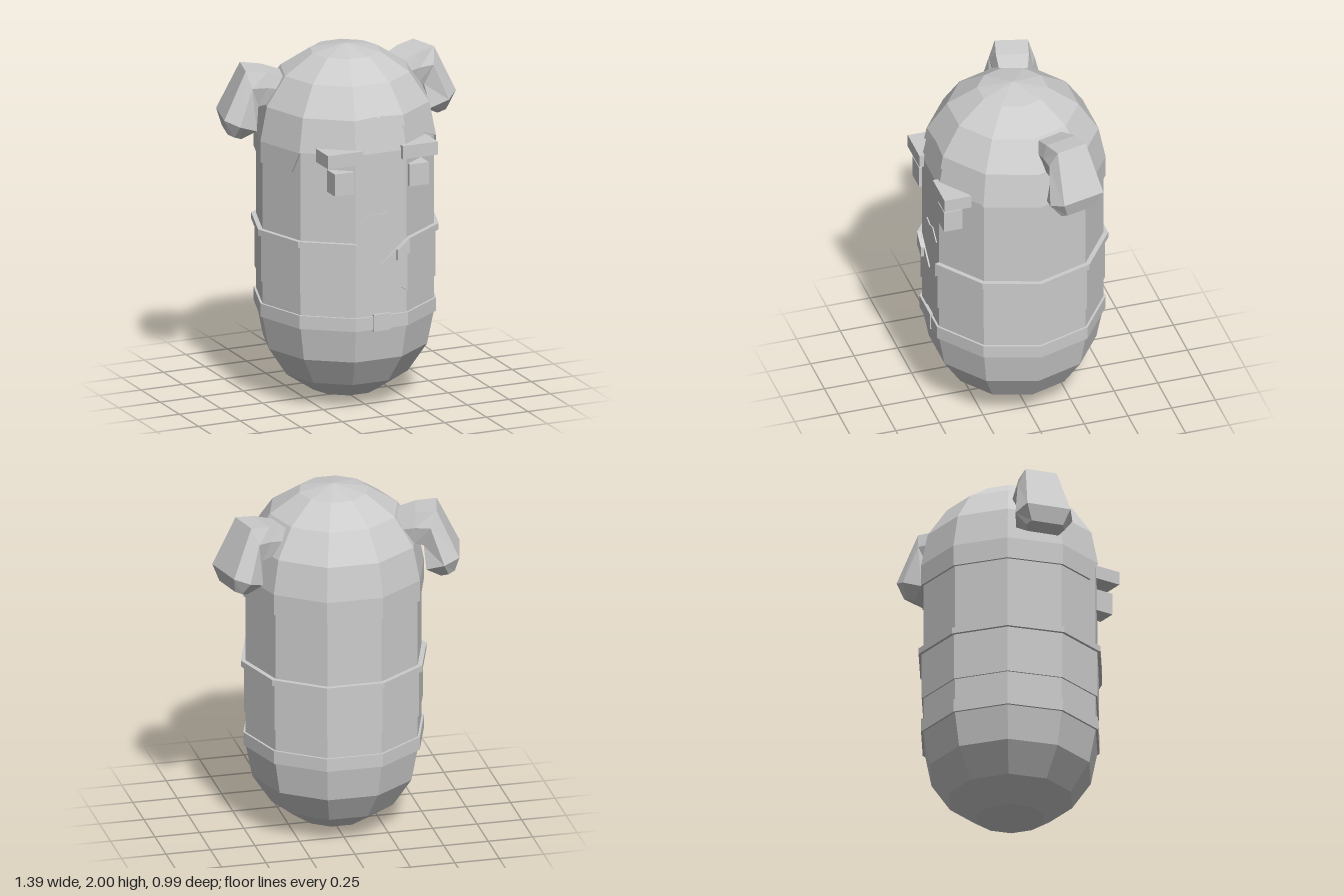
import * as THREE from 'three';

const grey = new THREE.MeshStandardMaterial({ color: 0xcccccc, flatShading: true, side: THREE.DoubleSide });

function mesh(name, geometry, x = 0, y = 0, z = 0) {
  const m = new THREE.Mesh(geometry, grey);
  m.name = name;
  m.position.set(x, y, z);
  return m;
}

// Skins a row of closed rings; loops round on itself or is capped at both ends
function loft(rings, loop) {
  const out = [];
  const tri = (...pts) => pts.forEach(p => out.push(p.x, p.y, p.z));
  const n = rings[0].length;
  const count = loop ? rings.length : rings.length - 1;
  for (let i = 0; i < count; i++) {
    const a = rings[i], b = rings[(i + 1) % rings.length];
    for (let j = 0; j < n; j++) {
      const k = (j + 1) % n;
      tri(b[j], a[j], a[k]);
      tri(b[j], a[k], b[k]);
    }
  }
  if (!loop) {
    const s = rings[0], e = rings[rings.length - 1];
    for (let j = 1; j < n - 1; j++) {
      tri(s[0], s[j + 1], s[j]);
      tri(e[0], e[j], e[j + 1]);
    }
  }
  const g = new THREE.BufferGeometry();
  g.setAttribute('position', new THREE.Float32BufferAttribute(out, 3));
  g.computeVertexNormals();
  return g;
}

// Point on the ten-sided outline: k counts corners from +x towards the front
function onOutline(k, r, y) {
  const i = Math.floor(k), f = k - i, step = Math.PI / 5;
  const mix = fn => (1 - f) * fn(i * step) + f * fn((i + 1) * step);
  return new THREE.Vector3(r * mix(Math.cos), y, r * mix(Math.sin));
}

// Band around the body; each column is [k, bottom, top]
function band(columns, inner, outer, loop) {
  return loft(columns.map(([k, lo, hi]) => [
    onOutline(k, inner, lo), onOutline(k, outer, lo),
    onOutline(k, outer, hi), onOutline(k, inner, hi)]), loop);
}

// Domed hair cap with a peaked fringe; columns are [k, lower edge]
function hairCap() {
  const R = 0.508;
  const knots = [[1.38, R], [1.5, R]];
  for (let i = 1; i <= 4; i++) {
    const a = i * Math.PI / 8;
    knots.push([1.5 + 0.5 * Math.sin(a), R * Math.cos(a)]);
  }
  const radius = y => {
    for (let i = 1; i < knots.length; i++) {
      const [y0, r0] = knots[i - 1], [y1, r1] = knots[i];
      if (y <= y1) return r0 + (r1 - r0) * (y - y0) / (y1 - y0);
    }
    return 0;
  };
  const columns = [[0, 1.38], [0.8, 1.38], [1, 1.5], [2, 1.62], [2.5, 1.7], [3, 1.62], [4, 1.5], [4.2, 1.38],
    [5, 1.38], [6, 1.38], [7, 1.38], [8, 1.38], [9, 1.38]];
  return loft(columns.map(([k, edge]) => {
    const ring = knots.map(([ky]) => {
      const y = Math.max(ky, edge);
      return onOutline(k, radius(y), y);
    });
    ring.unshift(onOutline(k, radius(edge) - 0.03, edge));
    return ring;
  }), true);
}

// Pigtail: six-sided sections running outward, then bending down
function pigtail(side) {
  // outer u, outer y, inner u, inner y, edge half width, middle half width
  const sections = [
    [-0.03, 1.83, -0.03, 1.70, 0.07, 0.09],
    [0.02, 1.845, 0.03, 1.69, 0.08, 0.10],
    [0.10, 1.87, 0.10, 1.69, 0.09, 0.11],
    [0.215, 1.885, 0.145, 1.68, 0.09, 0.125],
    [0.34, 1.62, 0.16, 1.55, 0.125, 0.165],
    [0.315, 1.53, 0.24, 1.50, 0.09, 0.11]];
  const at = (u, y, w) => new THREE.Vector3(side * (0.335 + 0.97 * u + 0.25 * w), y, -0.11 - 0.25 * u + 0.97 * w);
  return loft(sections.map(([ou, oy, iu, iy, e, m]) => {
    const mu = ou * 0.55 + iu * 0.45, my = oy * 0.55 + iy * 0.45;
    const ring = [at(ou, oy, -e), at(ou, oy, e), at(mu, my, m), at(iu, iy, e), at(iu, iy, -e), at(mu, my, -m)];
    return side < 0 ? ring.reverse() : ring;
  }), false);
}

export function createModel() {
  const group = new THREE.Group();
  const figure = new THREE.Group();
  figure.name = 'figure';
  figure.position.x = -0.005;
  group.add(figure);

  figure.add(mesh('body', new THREE.CapsuleGeometry(0.495, 1, 4, 10).toNonIndexed(), 0, 1, 0));
  figure.add(mesh('hair', hairCap()));

  // Clothing
  const corners = [...Array(10).keys()];
  figure.add(mesh('belt', band(corners.map(k => [k, 0.5, 0.575]), 0.48, 0.508, true)));
  figure.add(mesh('buckle', new THREE.BoxGeometry(0.1, 0.095, 0.05), 0, 0.538, 0.463));

  const shawl = corners.map(k => [k, 0.7, k === 2 || k === 3 ? 1 : 0.98]);
  shawl.splice(3, 0, [2.5, 0.79, 0.865]);
  figure.add(mesh('shawl', band(shawl, 0.48, 0.504, true)));

  const collar = [[2.78, 0.88, 0.94], [3, 0.917, 1], [3.27, 0.955, 1]];
  for (let k = 4; k <= 11; k++) collar.push([k, 0.965, 1]);
  collar.push([11.73, 0.955, 1], [12, 0.917, 1], [12.22, 0.88, 0.94]);
  figure.add(mesh('collar', band(collar, 0.485, 0.522, false)));

  // Face
  for (const s of [-1, 1]) {
    const label = s > 0 ? 'left' : 'right';
    figure.add(mesh(label + 'Eyebrow', new THREE.BoxGeometry(0.21, 0.075, 0.195), s * 0.225, 1.492, 0.398));
    figure.add(mesh(label + 'Eye', new THREE.BoxGeometry(0.115, 0.125, 0.15), s * 0.225, 1.352, 0.407));
  }
  const lips = new THREE.Shape([[-0.12, 1.11], [-0.05, 1.06], [0.05, 1.06], [0.12, 1.11], [0.05, 1.165], [0, 1.15], [-0.05, 1.165]]
    .map(([x, y]) => new THREE.Vector2(x, y)));
  figure.add(mesh('mouth', new THREE.ExtrudeGeometry(lips, { depth: 0.02, bevelEnabled: false }), 0, 0, 0.457));

  // Pigtails
  group.add(mesh('leftPigtail', pigtail(1)), mesh('rightPigtail', pigtail(-1)));
  return group;
}
